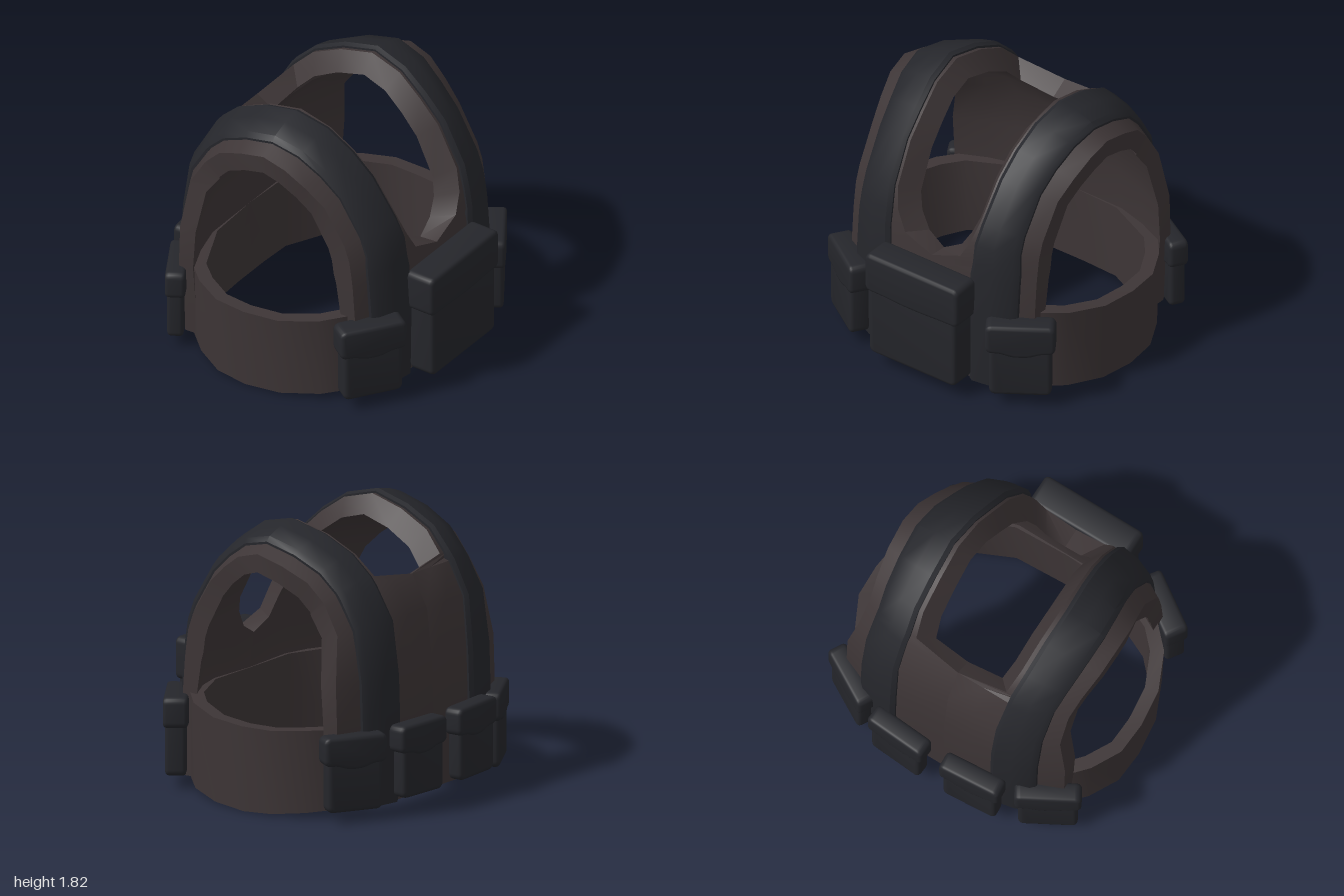
import * as THREE from 'three';
import { toCreasedNormals } from 'three/addons/utils/BufferGeometryUtils.js';

const cloth = new THREE.MeshStandardMaterial({ color: 0x3d3536 });
const webbing = new THREE.MeshStandardMaterial({ color: 0x25262b });

// Stations from the front hem, over the shoulder, to the back hem:
// z, y, neck-side x, arm-side x, thickness, webbing inner x, webbing outer x
const stations = [
  [0.76, 0.07, 0, 0.72, 0.10, 0.32, 0.64],
  [0.77, 0.60, 0, 0.73, 0.11, 0.32, 0.64],
  [0.75, 0.87, 0, 0.73, 0.13, 0.32, 0.64],
  [0.74, 0.95, 0.22, 0.73, 0.14, 0.33, 0.64],
  [0.72, 1.08, 0.29, 0.73, 0.14, 0.33, 0.63],
  [0.67, 1.22, 0.33, 0.73, 0.14, 0.35, 0.63],
  [0.51, 1.48, 0.35, 0.74, 0.13, 0.37, 0.64],
  [0.36, 1.62, 0.36, 0.77, 0.12, 0.38, 0.66],
  [0.19, 1.74, 0.38, 0.80, 0.12, 0.40, 0.69],
  [-0.03, 1.80, 0.39, 0.81, 0.12, 0.42, 0.71],
  [-0.27, 1.74, 0.38, 0.80, 0.12, 0.41, 0.70],
  [-0.48, 1.64, 0.37, 0.77, 0.13, 0.40, 0.68],
  [-0.61, 1.51, 0.34, 0.75, 0.13, 0.38, 0.66],
  [-0.65, 1.46, 0, 0.75, 0.14, 0.38, 0.66],
  [-0.77, 1.25, 0, 0.76, 0.13, 0.37, 0.66],
  [-0.81, 0.90, 0, 0.82, 0.12, 0.36, 0.66],
  [-0.82, 0.60, 0, 0.82, 0.11, 0.36, 0.66],
  [-0.80, 0.07, 0, 0.78, 0.10, 0.36, 0.66],
];

// Point on the vest surface at a station, raised by off, falling away to the arm side
function surface(i, x, off) {
  const s = stations[i];
  const a = stations[Math.max(i - 1, 0)], b = stations[Math.min(i + 1, stations.length - 1)];
  const dz = b[0] - a[0], dy = b[1] - a[1], len = Math.hypot(dz, dy);
  const nz = dy / len, ny = -dz / len;
  const t = Math.max(0, (x - 0.38) / (s[3] - 0.38));
  const h = off - 0.14 * Math.pow(t, 1.5);
  return [x, s[1] + ny * h, s[0] + nz * h];
}

// Skin a row of closed rings; the ends are capped unless the row closes on itself
function loft(rings, closed) {
  const pos = [], n = rings[0].length, m = rings.length;
  const quad = (a, b, c, d) => pos.push(...a, ...b, ...c, ...a, ...c, ...d);
  for (let i = 0; i < (closed ? m : m - 1); i++) {
    const p = rings[i], q = rings[(i + 1) % m];
    for (let j = 0; j < n; j++) quad(p[j], p[(j + 1) % n], q[(j + 1) % n], q[j]);
  }
  if (!closed) {
    const f = rings[0], e = rings[m - 1];
    for (let j = 0; j < n / 2 - 1; j++) {
      quad(f[n - 1 - j], f[n - 2 - j], f[j + 1], f[j]);
      quad(e[j], e[j + 1], e[n - 2 - j], e[n - 1 - j]);
    }
  }
  const g = new THREE.BufferGeometry();
  g.setAttribute('position', new THREE.Float32BufferAttribute(pos, 3));
  return g;
}

const mirrorRings = (rings) =>
  rings.map((r) => r.map(([x, y, z]) => [-x, y, z]).reverse());

function mesh(name, geometry, material) {
  const m = new THREE.Mesh(toCreasedNormals(geometry, 0.6), material);
  m.name = name;
  return m;
}

// One half of the vest: front panel, shoulder and back panel
function panelRings() {
  const cols = [0, 0.25, 0.5, 0.75, 1];
  return stations.map((s, i) => {
    const neck = Math.max(0, s[2] - 0.09);
    const outer = cols.map((t) => surface(i, s[2] + (s[3] - s[2]) * t, 0));
    const inner = cols.map((t) => surface(i, neck + (s[3] - neck) * t, -s[4]));
    return [...outer, ...inner.reverse()];
  });
}

// Raised webbing with chamfered edges
function webbingRings() {
  return stations.map((s, i) => {
    const a = s[5], b = s[6], mid = (a + b) / 2;
    const outer = [[a, 0.012], [a + 0.03, 0.03], [mid, 0.034], [b - 0.03, 0.034], [b, 0.015]];
    const inner = [a, a + 0.03, mid, b - 0.03, b].map((x) => surface(i, x, -0.03));
    return [...outer.map(([x, o]) => surface(i, x, o)), ...inner.reverse()];
  });
}

// Waist band: x, z, top, bottom from centre front to centre back
function waistGeometry() {
  const half = [
    [0, 0.74, 0.62, 0.07], [0.4, 0.72, 0.63, 0.07], [0.72, 0.58, 0.63, 0.06],
    [0.86, 0.44, 0.61, 0.045], [0.97, 0.2, 0.58, 0.02], [1, -0.05, 0.57, 0.005],
    [0.99, -0.27, 0.575, 0.02], [0.89, -0.47, 0.585, 0.04], [0.76, -0.62, 0.59, 0.06],
    [0.4, -0.78, 0.6, 0.07], [0, -0.8, 0.6, 0.07],
  ];
  const loop = [...half, ...half.slice(1, -1).reverse().map(([x, ...r]) => [-x, ...r])];
  const n = loop.length;
  return loft(loop.map(([x, z, top, bottom], i) => {
    const a = loop[(i + n - 1) % n], b = loop[(i + 1) % n];
    const dx = b[0] - a[0], dz = b[1] - a[1], len = Math.hypot(dx, dz);
    const ix = x + (dz / len) * 0.09, iz = z - (dx / len) * 0.09;
    return [
      [ix * 0.98, bottom, iz], [ix, top, iz], [x, top, z], [x * 0.98, bottom, z],
    ];
  }), true);
}

// Rounded slab with an optional sagging lower edge
function paddedSlab(w, y0, y1, depth, sag) {
  const r = 0.025, hw = w / 2 - r, lo = y0 + r, hi = y1 - r, c = 0.02;
  const s = new THREE.Shape();
  s.moveTo(-hw, lo + c);
  s.quadraticCurveTo(-hw, lo, -hw + c, lo);
  s.bezierCurveTo(-hw * 0.4, lo, -hw * 0.5, lo - sag, 0, lo - sag);
  s.bezierCurveTo(hw * 0.5, lo - sag, hw * 0.4, lo, hw - c, lo);
  s.quadraticCurveTo(hw, lo, hw, lo + c);
  s.lineTo(hw, hi - c);
  s.quadraticCurveTo(hw, hi, hw - c, hi);
  s.lineTo(-hw + c, hi);
  s.quadraticCurveTo(-hw, hi, -hw, hi - c);
  const g = new THREE.ExtrudeGeometry(s, {
    depth: depth - 2 * r, bevelEnabled: true, bevelSize: r, bevelThickness: r,
    bevelSegments: 3, curveSegments: 6,
  });
  g.translate(0, 0, -depth / 2 + r);
  return g;
}

// Pouch with an overhanging flap
function pouch(name, { w, y0, flap, y1, depth, x, z, turn, sag = 0.03 }) {
  const g = new THREE.Group();
  g.name = name;
  g.add(mesh('pouchBody', paddedSlab(w - 0.05, y0, y1 - 0.03, depth - 0.015, 0), webbing));
  g.add(mesh('pouchFlap', paddedSlab(w, flap, y1, depth + 0.01, sag), webbing));
  g.position.set(x, 0, z);
  g.rotation.y = turn;
  return g;
}

export function createModel() {
  const vest = new THREE.Group();
  vest.name = 'vest';
  vest.add(mesh('waistBand', waistGeometry(), cloth));

  const panel = panelRings(), strap = webbingRings();
  vest.add(mesh('leftPanel', loft(panel), cloth));
  vest.add(mesh('rightPanel', loft(mirrorRings(panel)), cloth));
  vest.add(mesh('leftWebbing', loft(strap), webbing));
  vest.add(mesh('rightWebbing', loft(mirrorRings(strap)), webbing));

  vest.add(pouch('frontPouch', {
    w: 0.74, y0: 0.1, flap: 0.57, y1: 0.85, depth: 0.2, x: 0, z: 0.87, turn: 0, sag: 0.01,
  }));
  for (const [side, k] of [['left', 1], ['right', -1]]) {
    vest.add(pouch(side + 'FrontPouch', {
      w: 0.45, y0: 0.09, flap: 0.41, y1: 0.615, depth: 0.15, x: 0.68 * k, z: 0.71, turn: 0.59 * k,
    }));
    vest.add(pouch(side + 'BackPouch', {
      w: 0.43, y0: 0.12, flap: 0.42, y1: 0.6, depth: 0.12, x: 0.275 * k, z: -0.91, turn: 3.07 * k,
    }));
    vest.add(pouch(side + 'RearSidePouch', {
      w: 0.43, y0: 0.08, flap: 0.39, y1: 0.58, depth: 0.12, x: 0.74 * k, z: -0.745, turn: 2.62 * k,
    }));
  }
  return vest;
}
